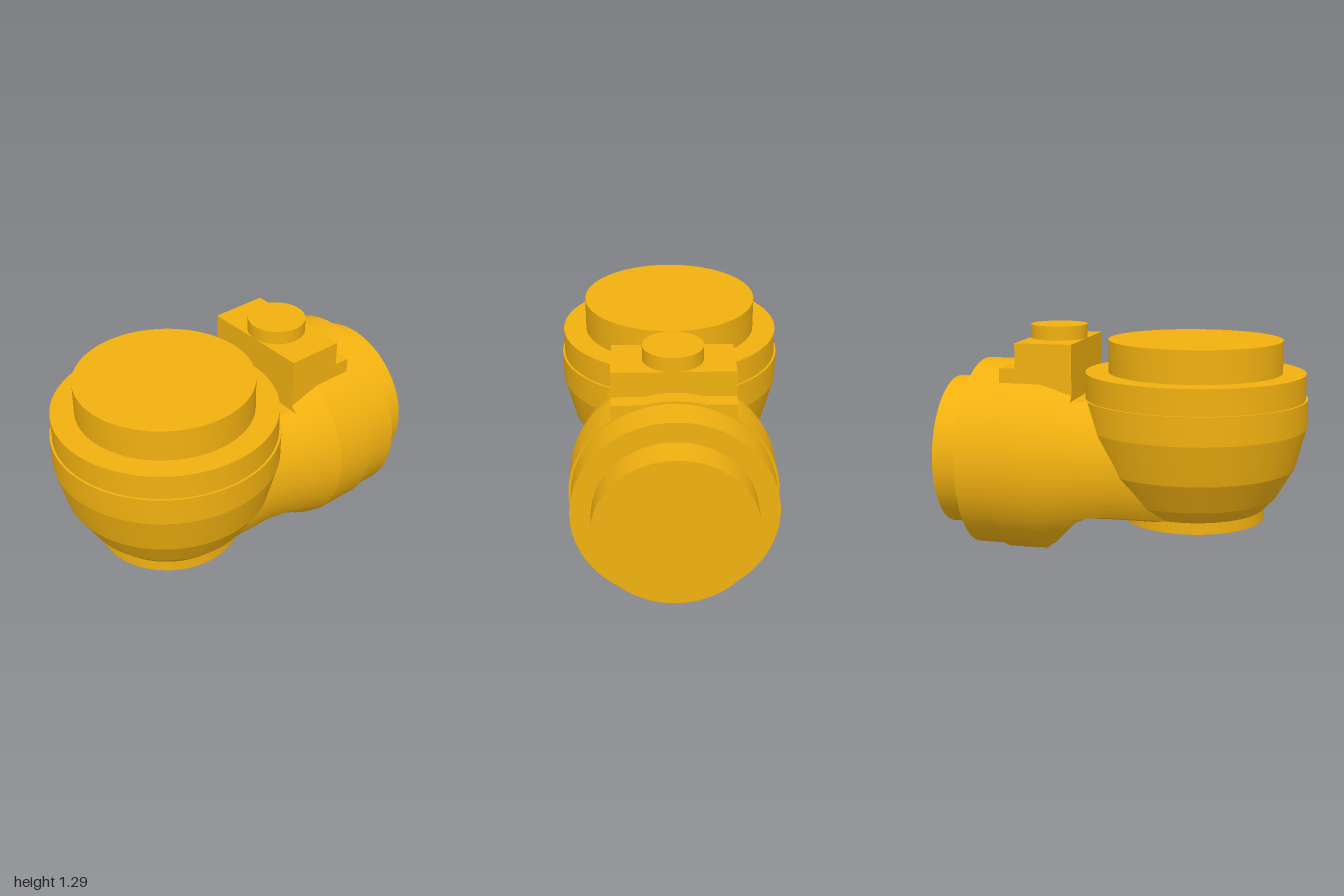
import * as THREE from 'three';
import { toCreasedNormals } from 'three/addons/utils/BufferGeometryUtils.js';

const material = new THREE.MeshStandardMaterial({ color: 0xf0b010 });
const CREASE = 0.15;
const AXIS_Y = 0.547; // height of the horizontal axis

function add(group, name, geometry) {
  const mesh = new THREE.Mesh(geometry, material);
  mesh.name = name;
  group.add(mesh);
  return mesh;
}

// Closed solid of revolution from [radius, height] pairs
function turned(profile) {
  const points = profile.map(([r, y]) => new THREE.Vector2(r, y));
  return toCreasedNormals(new THREE.LatheGeometry(points, 80), CREASE);
}

// Block given by its limits
function block(x0, x1, y0, y1, halfZ) {
  return new THREE.BoxGeometry(x1 - x0, y1 - y0, halfZ * 2)
    .translate((x0 + x1) / 2, (y0 + y1) / 2, 0);
}

// Loft along x: circles of radius r, flattened below lo and above hi
function neckGeometry(sections, segments = 96) {
  const positions = [], index = [], row = segments + 1;
  for (const [x, r, lo, hi] of sections) {
    for (let i = 0; i <= segments; i++) {
      const a = (i / segments) * Math.PI * 2;
      const y = THREE.MathUtils.clamp(AXIS_Y + r * Math.sin(a), lo, hi);
      positions.push(x, y, r * Math.cos(a));
    }
  }
  for (let j = 0; j < sections.length - 1; j++) {
    for (let i = 0; i < segments; i++) {
      const p = j * row + i, q = p + row;
      index.push(p, q, p + 1, q, q + 1, p + 1);
    }
  }
  const geometry = new THREE.BufferGeometry();
  geometry.setAttribute('position', new THREE.Float32BufferAttribute(positions, 3));
  geometry.setIndex(index);
  return toCreasedNormals(geometry, CREASE);
}

export function createModel() {
  const group = new THREE.Group();
  group.name = 'valveBody';

  // Upright bowl with foot, rim and raised cover
  add(group, 'bowl', turned([
    [0, 0.23], [0.392, 0.23], [0.392, 0.293], [0.46, 0.365], [0.557, 0.53],
    [0.613, 0.75], [0.615, 0.905], [0.603, 0.905], [0.603, 1.045],
    [0.476, 1.045], [0.476, 1.222], [0, 1.222],
  ])).position.x = -0.385;

  // Side neck, flat above and below where it joins the bowl
  add(group, 'neck', neckGeometry([
    [-0.3, 0, 0.28, 0.905],
    [-0.3, 0.46, 0.28, 0.905],
    [0.02, 0.46, 0.28, 0.905],
    [0.13, 0.476, 0.28, 0.905],
    [0.2, 0.494, 0.25, 0.905],
    [0.23, 0.502, 0.22, 0.905],
    [0.23, 0.502, 0.22, 2],
    [0.35, 0.532, 0.09, 2],
    [0.41, 0.546, 0.04, 2],
    [0.48, 0.547, 0, 2],
    [0.637, 0.547, 0, 2],
    [0.637, 0, 0, 2],
  ]));

  // Stepped round end of the neck
  const flange = add(group, 'endFlange', turned([
    [0, 0.6], [0.533, 0.6], [0.533, 0.828], [0.424, 0.828], [0.424, 1], [0, 1],
  ]));
  flange.rotation.z = -Math.PI / 2;
  flange.position.y = AXIS_Y;

  // Stepped block on top of the neck with a round boss
  add(group, 'topBlock', block(0.23, 0.547, 0.89, 1.21, 0.318));
  add(group, 'blockStep', block(0.547, 0.637, 0.89, 1.072, 0.318));
  add(group, 'topBoss', turned([[0, 1.2], [0.158, 1.2], [0.158, 1.287], [0, 1.287]]))
    .position.x = 0.389;

  return group;
}
